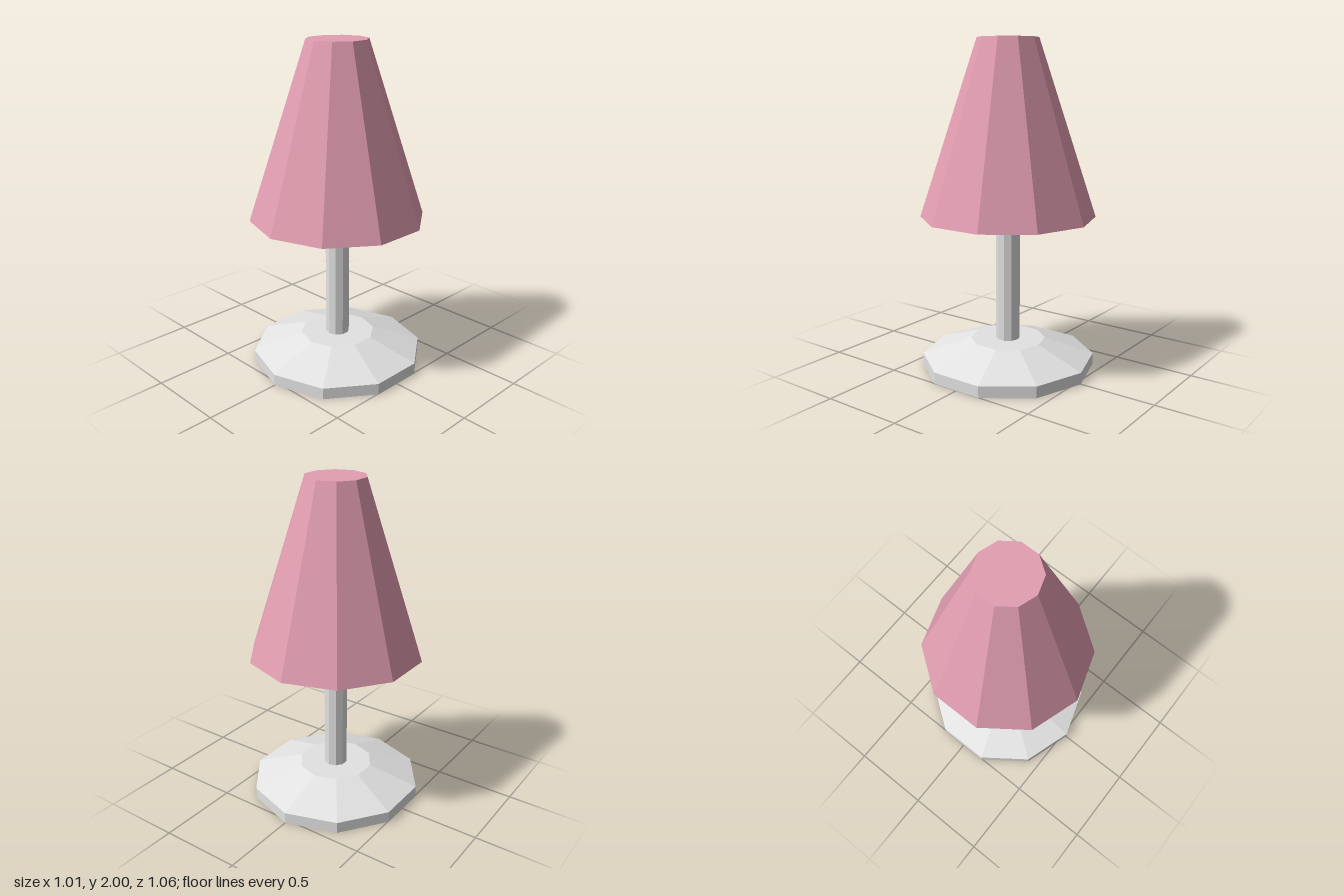
import * as THREE from 'three';

const SIDES = 10;

// Faceted solid of revolution from [radius, height] pairs, listed bottom to top.
function facetedTurn(name, profile, material) {
  const points = profile.map(([r, y]) => new THREE.Vector2(r, y));
  const geometry = new THREE.LatheGeometry(points, SIDES).toNonIndexed();
  geometry.computeVertexNormals(); // one normal per face
  const mesh = new THREE.Mesh(geometry, material);
  mesh.name = name;
  return mesh;
}

export function createModel() {
  const metal = new THREE.MeshStandardMaterial({ color: 0xe3e3e3 });
  metal.name = 'pale grey metal';
  const fabric = new THREE.MeshStandardMaterial({ color: 0xe39eb2 });
  fabric.name = 'pink fabric';

  const lamp = new THREE.Group();
  lamp.name = 'tableLamp';
  lamp.add(
    // Foot: short upright rim, then a slope up to a flat top
    facetedTurn('base', [[0, 0], [0.53, 0], [0.53, 0.07], [0.23, 0.175], [0, 0.175]], metal),
    // Slim post between foot and shade
    facetedTurn('pole', [[0.073, 0.175], [0.073, 0.94]], metal),
    // Closed tapering shade
    facetedTurn('shade', [[0, 0.94], [0.53, 0.94], [0.182, 2], [0, 2]], fabric),
  );
  return lamp;
}
